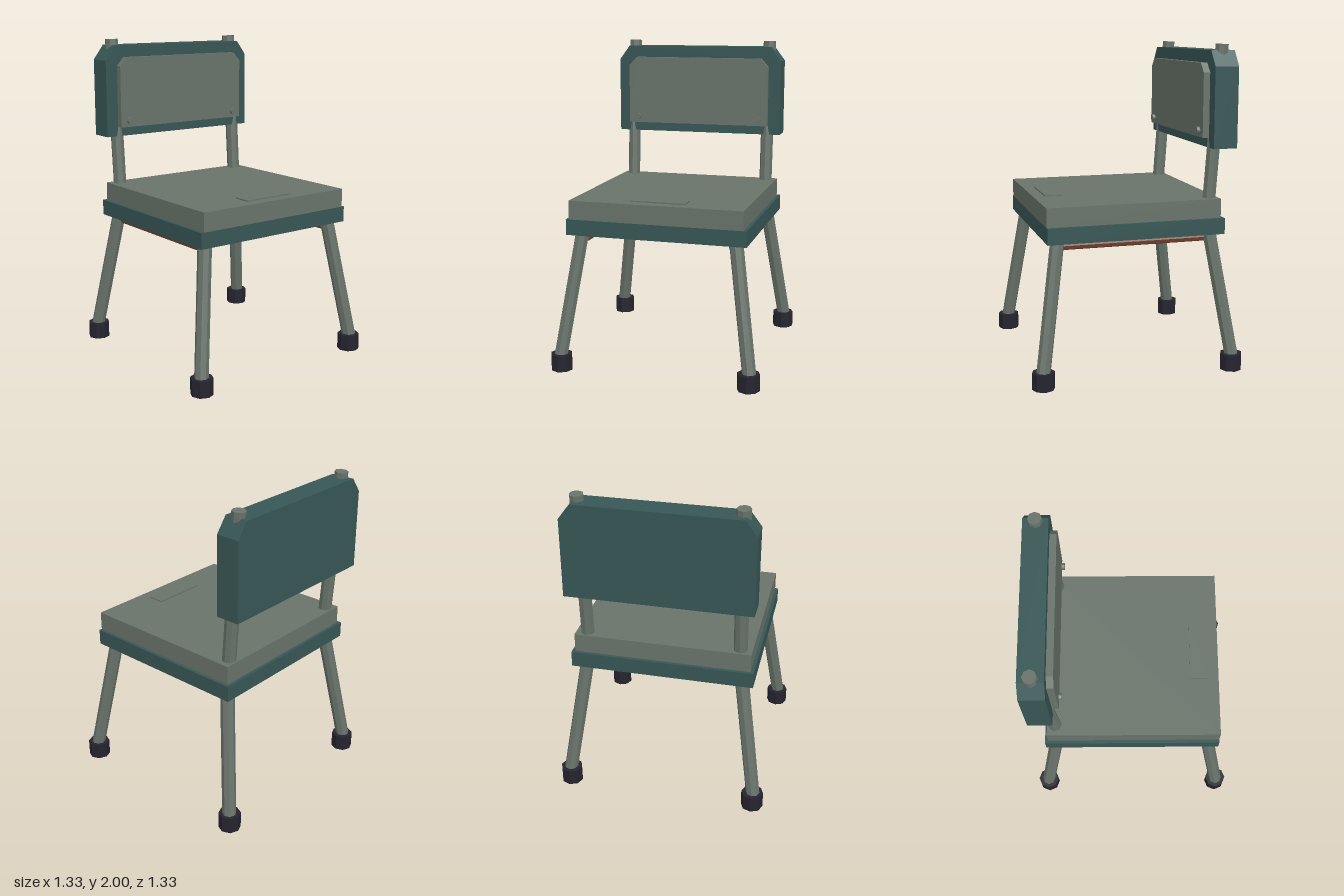
import * as THREE from 'three';

const paint = (name, color) => {
  const m = new THREE.MeshStandardMaterial({ color });
  m.name = name;
  m.flatShading = true;
  return m;
};

export function createModel() {
  const chair = new THREE.Group();
  chair.name = 'chair';
  const grey = paint('grey green', 0x68736a);
  const teal = paint('dark teal', 0x375655);
  const rubber = paint('dark rubber', 0x25242f);
  const rust = paint('rust brown', 0x7c4a35);

  const add = (name, geometry, material, x = 0, y = 0, z = 0) => {
    const mesh = new THREE.Mesh(geometry, material);
    mesh.name = name;
    mesh.position.set(x, y, z);
    chair.add(mesh);
    return mesh;
  };

  // Block given by its limits on each axis
  const block = (name, material, [x0, x1], [y0, y1], [z0, z1]) =>
    add(name, new THREE.BoxGeometry(x1 - x0, y1 - y0, z1 - z0), material,
      (x0 + x1) / 2, (y0 + y1) / 2, (z0 + z1) / 2);

  // Eight-sided rod between two points
  const rod = (name, material, from, to, radius) => {
    const a = new THREE.Vector3(...from), b = new THREE.Vector3(...to);
    const dir = b.clone().sub(a);
    const mesh = add(name, new THREE.CylinderGeometry(radius, radius, dir.length(), 8), material);
    mesh.position.copy(a).add(b).multiplyScalar(0.5);
    mesh.quaternion.setFromUnitVectors(new THREE.Vector3(0, 1, 0), dir.normalize());
    return mesh;
  };

  // Upright plate with its two top corners cut off
  const plate = (name, material, w, y0, y1, cutX, cutY, z0, z1) => {
    const shape = new THREE.Shape([
      [-w, y0], [w, y0], [w, y1 - cutY], [w - cutX, y1], [cutX - w, y1], [-w, y1 - cutY],
    ].map(([x, y]) => new THREE.Vector2(x, y)));
    add(name, new THREE.ExtrudeGeometry(shape, { depth: z1 - z0, bevelEnabled: false }), material, 0, 0, z0);
  };

  // Seat
  block('seatBase', teal, [-0.563, 0.563], [0.855, 0.953], [-0.55, 0.553]);
  block('seatPad', grey, [-0.543, 0.543], [0.953, 1.07], [-0.53, 0.553]);
  block('seatPlate', grey, [-0.173, 0.173], [1.07, 1.078], [0.372, 0.482]);

  // Backrest
  plate('backPanel', teal, 0.563, 1.378, 1.96, 0.07, 0.093, -0.618, -0.468);
  plate('backPad', grey, 0.482, 1.438, 1.885, 0.05, 0.055, -0.468, -0.427);

  for (const side of [-1, 1]) {
    // Leaning back posts, running through the panel
    rod('backPost', grey, [side * 0.472, 0.96, -0.472], [side * 0.472, 1.997, -0.545], 0.042);
    // Bolts on the back pad
    rod('backBolt', grey, [side * 0.42, 1.48, -0.43], [side * 0.42, 1.48, -0.408], 0.022);
    // Rails under the seat
    rod('seatRail', rust, [side * 0.468, 0.829, -0.47], [side * 0.468, 0.829, 0.47], 0.03);
    // Splayed legs with rubber feet
    for (const end of [-1, 1]) {
      rod('leg', grey, [side * 0.608, 0.03, end * 0.605], [side * 0.482, 0.88, end * 0.475], 0.043);
      add('foot', new THREE.CylinderGeometry(0.069, 0.069, 0.103, 8), rubber,
        side * 0.595, 0.0515, end * 0.595);
    }
  }
  return chair;
}
